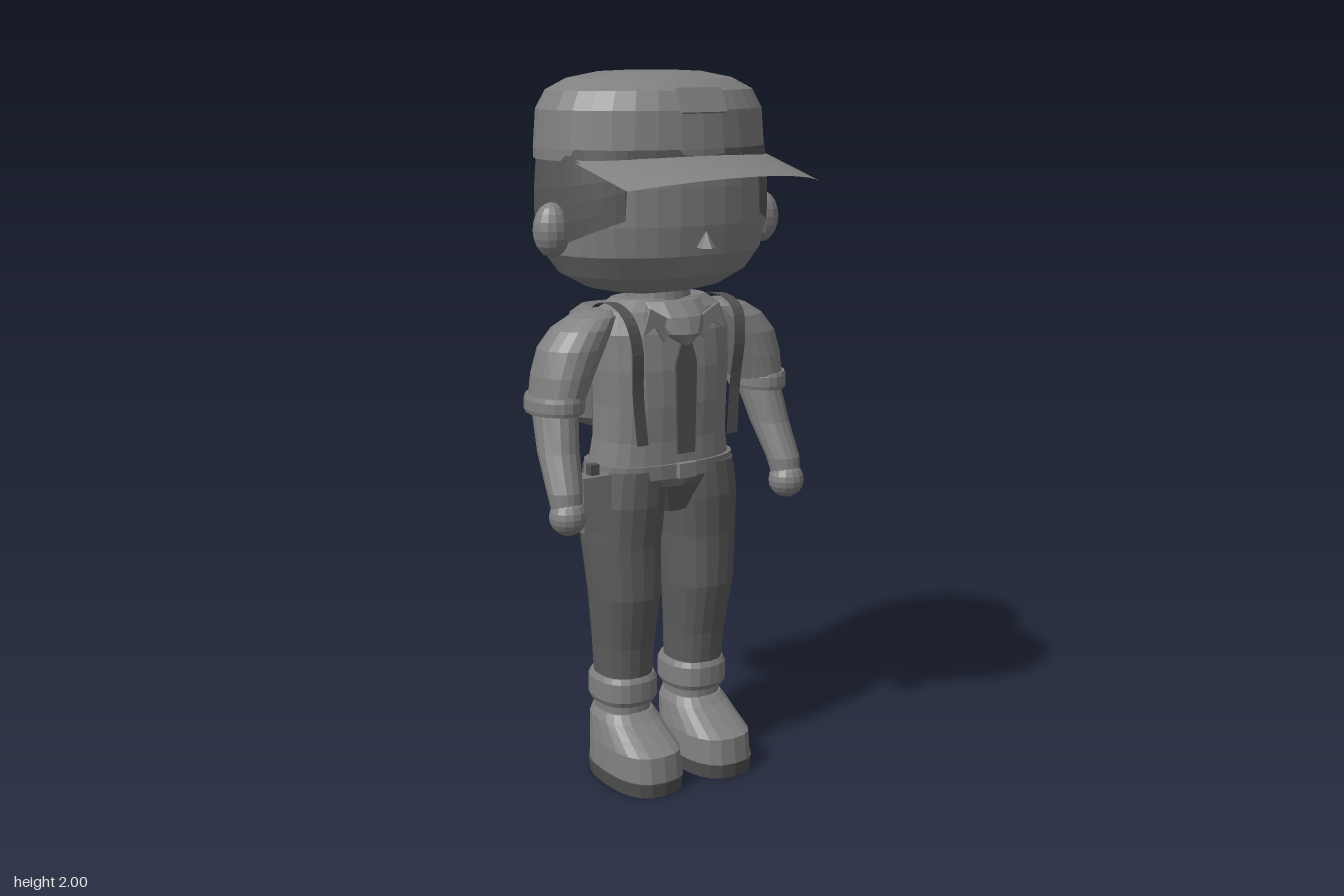
import * as THREE from 'three';

const paint = (name, color) => Object.assign(new THREE.MeshStandardMaterial({ color, side: THREE.DoubleSide }), { name });

export function createModel() {
  const model = new THREE.Group();
  model.name = 'hiker';
  const light = paint('light grey', 0x808080);
  const pack = paint('pack grey', 0x777777);
  const trouser = paint('trouser grey', 0x5c5c5c);
  const hairGrey = paint('hair grey', 0x575757);
  const dark = paint('dark grey', 0x505050);

  const add = (name, geo, mat, parent = model) => {
    const flat = geo.index ? geo.toNonIndexed() : geo;
    flat.computeVertexNormals();
    const mesh = new THREE.Mesh(flat, mat);
    mesh.name = name;
    parent.add(mesh);
    return mesh;
  };
  const build = (pos, idx) => {
    const g = new THREE.BufferGeometry();
    g.setAttribute('position', new THREE.Float32BufferAttribute(pos, 3));
    g.setIndex(idx);
    return g;
  };
  const power = (v, n) => Math.sign(v) * Math.pow(Math.abs(v), 2 / n);

  // Closed stack of horizontal sections [y, centreX, centreZ, radiusX, radiusZ], bottom to top
  const loft = (sections, n = 2, seg = 20) => {
    const pos = [], idx = [];
    for (const [y, cx, cz, rx, rz] of sections)
      for (let j = 0; j < seg; j++) {
        const a = (j / seg) * Math.PI * 2;
        pos.push(cx + rx * power(Math.sin(a), n), y, cz + rz * power(Math.cos(a), n));
      }
    const last = sections.length - 1, bottom = pos.length / 3;
    for (const s of [sections[0], sections[last]]) pos.push(s[1], s[0], s[2]);
    for (let j = 0; j < seg; j++) {
      const k = (j + 1) % seg;
      for (let i = 0; i < last; i++) {
        const a = i * seg + j, b = i * seg + k;
        idx.push(a, b, b + seg, a, b + seg, a + seg);
      }
      idx.push(bottom, k, j, bottom + 1, last * seg + j, last * seg + k);
    }
    // shift section centres into place for the caps
    pos[bottom * 3] = sections[0][1];
    pos[bottom * 3 + 1] = sections[0][0];
    return build(pos, idx);
  };
  // Open sheet sampled from fn(u, v)
  const sheet = (us, nv, fn) => {
    const pos = [], idx = [], row = nv + 1;
    us.forEach((u, i) => {
      for (let j = 0; j <= nv; j++) {
        pos.push(...fn(u, j / nv));
        const a = i * row + j;
        if (i < us.length - 1 && j < nv) idx.push(a, a + row, a + row + 1, a, a + row + 1, a + 1);
      }
    });
    return build(pos, idx);
  };
  const range = (a, b, n) => Array.from({ length: n + 1 }, (_, i) => a + ((b - a) * i) / n);
  const box = (name, mat, w, h, d, x, y, z, tilt = 0) => {
    const m = add(name, new THREE.BoxGeometry(w, h, d), mat);
    m.position.set(x, y, z);
    m.rotation.x = tilt;
    return m;
  };
  const plate = (points, depth) => new THREE.ExtrudeGeometry(
    new THREE.Shape(points.map(p => new THREE.Vector2(...p))), { depth, bevelEnabled: false });

  // Head
  const headProfile = [[1.405, 0.13], [1.42, 0.2], [1.46, 0.275], [1.52, 0.32], [1.6, 0.332], [1.7, 0.332], [1.82, 0.32]];
  const headZ = -0.09, ratio = 0.77;
  add('head', loft(headProfile.map(([y, r]) => [y, 0, headZ, r * 0.985, r * ratio]), 2.15, 32), light);
  const radiusAt = y => {
    const i = Math.max(1, headProfile.findIndex(p => p[0] >= y));
    const [a, b] = [headProfile[i - 1], headProfile[i]];
    return a[1] + ((b[1] - a[1]) * (y - a[0])) / (b[0] - a[0]);
  };

  // Hair shell with a square fringe and a wavy lower edge
  const hairEdge = a => {
    const t = Math.abs(a);
    if (t < 0.66) return 1.73;
    if (t < 1.3) return 1.62 - (0.065 * (t - 0.66)) / 0.64;
    return 1.555 - 0.05 * Math.min(1, (t - 1.3) / 0.8) + 0.015 * Math.sin((t - 1.3) * 9);
  };
  const side = [0.67, ...range(0.76, Math.PI, 22)];
  const hairAngles = [...side.map(a => -a).reverse(), -0.65, -0.4, -0.2, 0, 0.2, 0.4, 0.65, ...side];
  add('hair', sheet(hairAngles, 5, (a, v) => {
    const y = THREE.MathUtils.lerp(hairEdge(a), 1.8, v), r = radiusAt(y) + 0.004;
    return [r * power(Math.sin(a), 2.15), y, headZ + (r + 0.003) * ratio * power(Math.cos(a), 2.15)];
  }), hairGrey);

  // Nose
  const nose = add('nose', new THREE.ConeGeometry(0.026, 0.045, 6), light);
  nose.position.set(0, 1.565, 0.175);

  // Cap with brim and front patch
  add('cap', loft([[1.77, 0.335], [1.8, 0.336], [1.9, 0.328], [1.95, 0.3], [1.98, 0.24], [1.997, 0.15], [2, 0.08]]
    .map(([y, r]) => [y, 0, -0.1, r, r * 0.79]), 2, 32), light);
  for (const drop of [0, 0.008])
    add('capBrim', sheet(range(-0.305, 0.305, 14), 4, (x, v) => {
      const t = (x / 0.305) ** 2;
      const back = -0.1 + 0.25 * Math.sqrt(1 - (x / 0.34) ** 2);
      return [x, THREE.MathUtils.lerp(1.785 - 0.01 * t, 1.744 - 0.033 * t, v) - drop * (1 - v),
        THREE.MathUtils.lerp(back, 0.405 - 0.135 * t, v)];
    }), light);
  box('capPatch', light, 0.14, 0.07, 0.009, 0, 1.925, 0.15, -0.45);

  // Neck, shirt and trouser seat
  add('neck', loft([[1.34, 0, -0.06, 0.1, 0.09], [1.43, 0, -0.06, 0.09, 0.08]]), light);
  add('shirt', loft([[0.92, 0, -0.06, 0.212, 0.128], [1, 0, -0.055, 0.2, 0.122], [1.1, 0, -0.05, 0.198, 0.125],
    [1.2, 0, -0.05, 0.204, 0.125], [1.3, 0, -0.05, 0.205, 0.115], [1.36, 0, -0.055, 0.185, 0.1],
    [1.39, 0, -0.06, 0.14, 0.08]], 2.5, 24), light);
  add('trouserSeat', loft([[0.79, 0, -0.06, 0.06, 0.1], [0.87, 0, -0.06, 0.13, 0.128], [0.92, 0, -0.06, 0.21, 0.13]], 2.6), trouser);
  add('belt', loft([[0.895, 0, -0.06, 0.226, 0.137], [0.935, 0, -0.06, 0.222, 0.137]], 2.5, 24), pack);
  box('beltBuckle', light, 0.055, 0.042, 0.02, 0, 0.917, 0.083);

  // Tie, neckerchief and collar points
  const tie = add('tie', plate([[-0.028, 0.965], [0.028, 0.965], [0.034, 1.22], [0.012, 1.29], [-0.012, 1.29], [-0.034, 1.22]], 0.008), dark);
  tie.position.z = 0.077;
  const scarf = add('neckerchief', loft([[1.27, 0, 0.07, 0.012, 0.015], [1.3, 0, 0.05, 0.06, 0.045],
    [1.345, 0, -0.01, 0.11, 0.09], [1.385, 0, -0.045, 0.11, 0.085]], 2, 14), light);
  scarf.position.z = 0.01;

  // Backpack with flap and clasp
  add('backpack', loft([[1, 0, -0.28, 0.13, 0.08], [1.025, 0, -0.285, 0.155, 0.094], [1.13, 0, -0.285, 0.165, 0.1],
    [1.26, 0, -0.275, 0.16, 0.09], [1.32, 0, -0.265, 0.145, 0.075], [1.345, 0, -0.26, 0.115, 0.055]], 4, 24), pack);
  const flap = add('backpackFlap', loft([[1.08, 0, -0.381, 0.165, 0.022], [1.235, 0, -0.365, 0.15, 0.02]], 5, 16), pack);
  flap.position.y = 0.005;
  box('backpackClasp', dark, 0.038, 0.14, 0.014, 0, 1.13, -0.398, 0.1);

  // Radio on the belt
  box('radio', pack, 0.088, 0.155, 0.06, -0.255, 0.843, 0);
  box('radioAerial', dark, 0.028, 0.03, 0.025, -0.252, 0.935, 0);

  // Paired parts, left and right
  for (const s of [1, -1]) {
    const half = new THREE.Group();
    half.name = s > 0 ? 'leftSide' : 'rightSide';
    half.scale.x = s;
    model.add(half);
    const pair = (name, geo, mat) => add(name, geo, mat, half);

    const ear = pair('ear', new THREE.SphereGeometry(1, 14, 10), light);
    ear.scale.set(0.052, 0.073, 0.048);
    ear.position.set(0.342, 1.59, -0.047);

    pair('sleeve', loft([[1.12, 0.335, -0.055, 0.07, 0.094], [1.2, 0.312, -0.055, 0.084, 0.098], [1.27, 0.284, -0.055, 0.092, 0.096],
      [1.32, 0.25, -0.055, 0.085, 0.085], [1.35, 0.215, -0.055, 0.07, 0.065], [1.365, 0.195, -0.055, 0.04, 0.04]]), light);
    pair('sleeveCuff', loft([[1.098, 0.339, -0.055, 0.074, 0.098], [1.108, 0.339, -0.055, 0.077, 0.101],
      [1.135, 0.338, -0.055, 0.077, 0.101], [1.147, 0.338, -0.055, 0.073, 0.097]]), light);
    pair('forearm', loft([[0.85, 0.367, 0.055, 0.042, 0.042], [0.9, 0.365, 0.043, 0.05, 0.048],
      [1, 0.354, -0.01, 0.057, 0.06], [1.12, 0.338, -0.055, 0.062, 0.075]], 2, 16), light);
    const hand = pair('hand', new THREE.SphereGeometry(0.052, 14, 10), light);
    hand.position.set(0.366, 0.833, 0.06);

    pair('trouserLeg', loft([[0.24, 0.12, -0.065, 0.076, 0.085], [0.4, 0.122, -0.06, 0.083, 0.093], [0.55, 0.125, -0.047, 0.097, 0.108],
      [0.7, 0.128, -0.06, 0.105, 0.12], [0.82, 0.122, -0.06, 0.112, 0.13], [0.92, 0.112, -0.06, 0.108, 0.126]], 2.3), trouser);
    pair('sockCuff', loft([[0.225, 0.12, -0.067, 0.084, 0.094], [0.24, 0.12, -0.067, 0.091, 0.102],
      [0.295, 0.12, -0.067, 0.091, 0.102], [0.31, 0.12, -0.067, 0.084, 0.094]], 2.4), light);
    pair('ankle', loft([[0.18, 0.12, -0.068, 0.075, 0.083], [0.24, 0.12, -0.068, 0.075, 0.083]], 2.4), light);
    pair('shoe', loft([[0.04, 0.12, 0, 0.104, 0.163], [0.115, 0.12, -0.003, 0.102, 0.158],
      [0.145, 0.12, -0.03, 0.096, 0.13], [0.178, 0.12, -0.058, 0.09, 0.103], [0.2, 0.12, -0.068, 0.078, 0.088]], 2.6), light);
    pair('shoeSole', loft([[0, 0.12, 0, 0.102, 0.162], [0.042, 0.12, 0, 0.107, 0.167]], 2.6), dark);

    // Backpack strap over the shoulder
    const path = new THREE.CatmullRomCurve3([[0.148, 1.005, 0.092], [0.16, 1.15, 0.088], [0.168, 1.28, 0.098], [0.178, 1.355, 0.07],
      [0.178, 1.385, -0.01], [0.165, 1.365, -0.11], [0.14, 1.29, -0.2]].map(p => new THREE.Vector3(...p)));
    pair('backpackStrap', sheet(range(0, 1, 20), 1, (u, v) => {
      const p = path.getPoint(u);
      return [p.x + (v - 0.5) * 0.036, p.y, p.z];
    }), dark);

    const collar = pair('collarPoint', plate([[0.03, 1.33], [0.11, 1.375], [0.135, 1.3], [0.095, 1.325], [0.065, 1.28]], 0.008), light);
    collar.position.z = 0.066;
  }
  return model;
}
